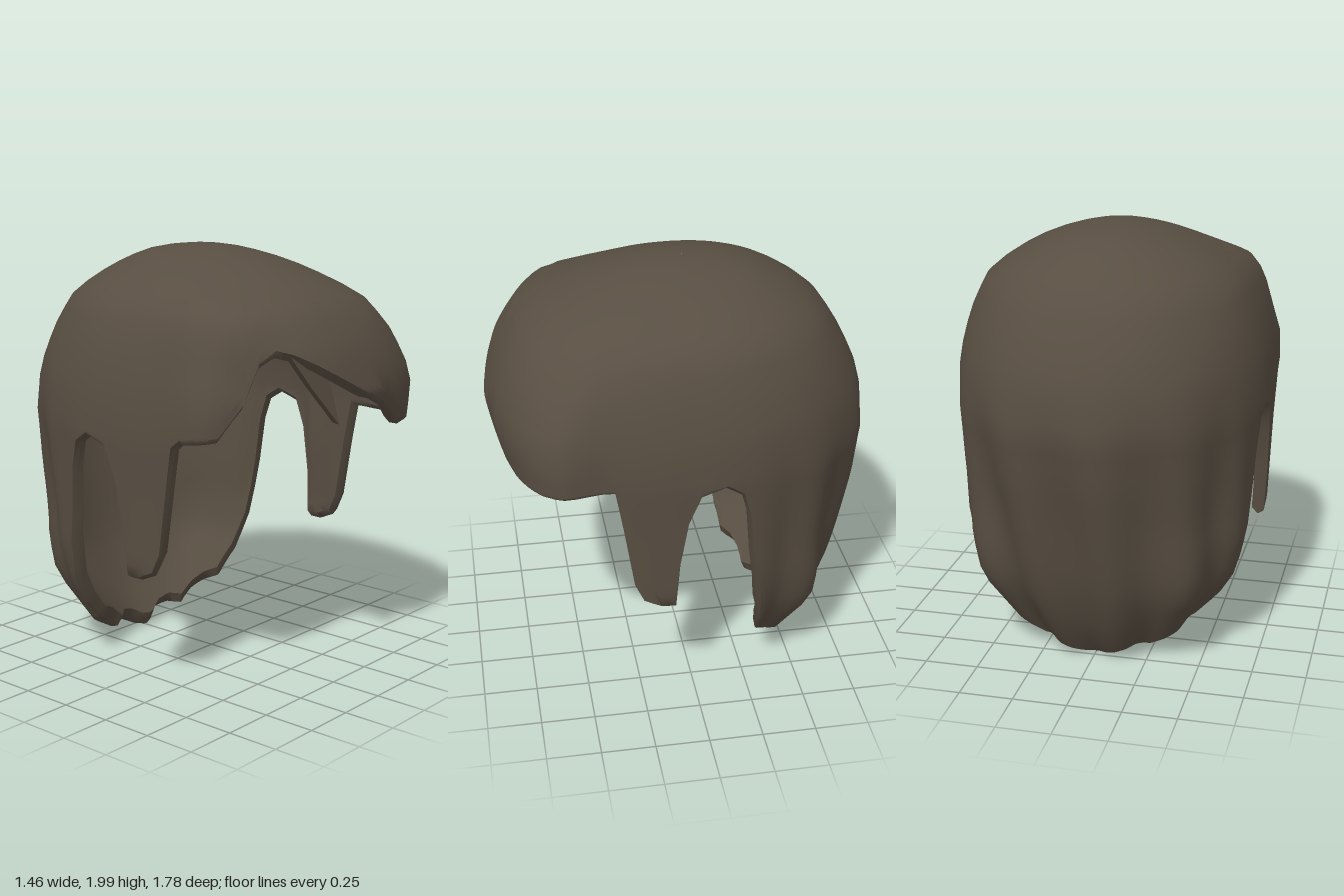
import * as THREE from 'three';
import { toCreasedNormals } from 'three/addons/utils/BufferGeometryUtils.js';

// Horizontal outline by height: [y, half width, front depth, back depth]
const OUTLINE = [
  [2, 0, 0, 0], [1.97, 0.2, 0.25, 0.29], [1.9, 0.39, 0.48, 0.45], [1.77, 0.59, 0.75, 0.64],
  [1.6, 0.67, 0.86, 0.75], [1.4, 0.72, 0.92, 0.84], [1.2, 0.73, 0.88, 0.86], [0.95, 0.72, 0.85, 0.82],
  [0.6, 0.71, 0.83, 0.74], [0.4, 0.66, 0.8, 0.69], [0.2, 0.54, 0.7, 0.6], [0.1, 0.47, 0.6, 0.54],
  [0.04, 0.43, 0.55, 0.49], [0, 0.4, 0.5, 0.45],
];

// Lower edge by angle in degrees (0 = front, positive towards +x): [angle, y]
const FRINGE = [
  [-57, 1.24], [-46, 1.26], [-39, 1.4], [-34, 1.57], [-29, 1.62], [-24, 1.6], [-17, 1.55], [-11, 1.5],
  [0, 1.41], [13, 1.32], [22, 1.22], [30, 1.19], [42, 1.18], [57, 1.2],
];
const SIDE = [
  [60, 1.2], [62, 1.0], [65, 0.7], [68, 0.61], [74, 0.57], [79, 0.57], [80.5, 0.8], [83.5, 1.02],
  [88, 1.16], [97, 1.2], [103, 1.15], [106, 1.02], [108, 0.8], [112, 0.5], [117, 0.32], [124, 0.2],
  [132, 0.17], [140, 0.13], [148, 0.07], [157, 0.08], [166, 0.06], [174, 0.02],
];
const HEM = [
  [-180, 0.01], ...SIDE.map(([a, y]) => [-a, y]).reverse(), ...FRINGE, ...SIDE, [180, 0.01],
];

const CENTRE_Z = -0.03;
const CAP_ROWS = 14;
const ROWS = 28;
const { smoothstep } = THREE.MathUtils;

// Soft bump round a value, with its own width on either side
function bump(value, centre, before, after) {
  const d = (value - centre) / (value < centre ? before : after);
  return Math.exp(-d * d);
}

// Smooth body of the hair; q is the square root of the drop below the crown
function surface(deg, q, grooves = 0) {
  const y = 2 - q * q;
  let k = 1;
  while (k < OUTLINE.length - 1 && OUTLINE[k][0] > y) k++;
  const [p, n] = [OUTLINE[k - 1], OUTLINE[k]];
  const qa = Math.sqrt(2 - p[0]), qb = Math.sqrt(2 - n[0]);
  const t = (q - qa) / (qb - qa);
  const [w, f, b] = [1, 2, 3].map((c) => Math.max(1e-5, p[c] + (n[c] - p[c]) * t));

  const a = THREE.MathUtils.degToRad(deg);
  const s = Math.abs(Math.sin(a)), c = Math.cos(a);
  const e = c > 0 ? 2 + 0.7 * smoothstep(2 - y, 0, 0.4) : 2.1;
  let r = Math.pow(Math.pow(s / w, e) + Math.pow(Math.abs(c) / (c > 0 ? f : b), e), -1 / e);

  // Full swept lock on one side of the fringe, slimmer parting on the other
  const low = smoothstep(2 - y, 0.2, 0.7);
  r += low * (0.09 * bump(deg, 47, 18, 7) + 0.05 * bump(deg, -51, 9, 8) - 0.045 * bump(deg, -31, 9, 10));
  // Raised shoulder above the parting
  r += 0.06 * bump(deg, -45, 18, 18) * bump(y, 1.75, 0.15, 0.09);
  // Flare of the back corners and grooves between the long locks
  r += 0.04 * bump(Math.abs(deg), 138, 16, 16) * bump(y, 0.4, 0.16, 0.25);
  const back = smoothstep(Math.abs(deg), 105, 130) * smoothstep(2 - y, 0.5, 1.3);
  r += grooves * back * (Math.cos(a * 13 + y * 1.5) - 0.2);

  return new THREE.Vector3(r * Math.sin(a), y, r * c + CENTRE_Z);
}

// Same point moved inwards by the thickness
function innerSurface(deg, q, thickness) {
  const p = surface(deg, q);
  const normal = new THREE.Vector3(0, 1, 0);
  if (q > 0.05) {
    const down = surface(deg, q + 0.01).sub(surface(deg, q - 0.01));
    const across = surface(deg + 1, q).sub(surface(deg - 1, q));
    normal.crossVectors(down, across).normalize();
  }
  return p.addScaledVector(normal, -thickness);
}

// Columns: every corner of the lower edge, with long spans subdivided
function columns() {
  const list = [];
  for (let i = 0; i < HEM.length - 1; i++) {
    const [a0, y0] = HEM[i], [a1, y1] = HEM[i + 1];
    const steps = Math.max(1, Math.ceil((a1 - a0) / 3));
    for (let s = 0; s < steps; s++) {
      const t = s / steps;
      list.push([a0 + (a1 - a0) * t, y0 + (y1 - y0) * t]);
    }
  }
  return list;
}

// Closed shell: down the outside, round the rim and back up the inside
function shellGeometry() {
  const cols = columns();
  const positions = [], index = [];
  const perColumn = 2 * ROWS + 3;
  for (const [deg, hem] of cols) {
    const qMax = Math.sqrt(2 - hem);
    const qCap = Math.min(0.86, qMax - 0.03); // level rows over the cap, the rest follow the hem
    const backness = smoothstep(Math.abs(deg), 110, 140);
    const outer = [], inner = [];
    for (let j = 0; j <= ROWS; j++) {
      const q = j < CAP_ROWS
        ? (qCap * j) / CAP_ROWS
        : qCap + ((qMax - qCap) * (j - CAP_ROWS)) / (ROWS - CAP_ROWS);
      const edge = 1 - smoothstep(qMax - q, 0, 0.2);
      outer.push(surface(deg, q, 0.025));
      inner.push(innerSurface(deg, q, 0.075 + edge * (0.035 * backness - 0.015)));
    }
    const rim = outer[ROWS].clone().lerp(inner[ROWS], 0.5);
    rim.y -= 0.025;
    for (const p of [...outer, rim, ...inner.reverse()]) positions.push(p.x, p.y, p.z);
  }
  for (let i = 0; i < cols.length; i++) {
    const left = i * perColumn, right = ((i + 1) % cols.length) * perColumn;
    for (let j = 0; j < perColumn - 1; j++) {
      const A = left + j, B = A + 1, D = right + j, C = D + 1;
      if (j < perColumn - 2) index.push(A, B, C);
      if (j > 0) index.push(A, C, D);
    }
  }
  const geometry = new THREE.BufferGeometry();
  geometry.setAttribute('position', new THREE.Float32BufferAttribute(positions, 3));
  geometry.setIndex(index);
  return toCreasedNormals(geometry, 0.9);
}

// Pointed strand hanging beside the parting
function strandGeometry() {
  const shape = new THREE.Shape([
    new THREE.Vector2(-0.27, 1.61), new THREE.Vector2(-0.15, 1.45), new THREE.Vector2(0, 1.27),
    new THREE.Vector2(-0.07, 1.54),
  ]);
  return new THREE.ExtrudeGeometry(shape, { depth: 0.05, bevelEnabled: false });
}

export function createModel() {
  const group = new THREE.Group();
  group.name = 'hair';
  const material = new THREE.MeshStandardMaterial({ color: 0x584e42 });

  const shell = new THREE.Mesh(shellGeometry(), material);
  shell.name = 'hairShell';

  const strand = new THREE.Mesh(strandGeometry(), material);
  strand.name = 'fringeStrand';
  strand.position.set(-0.1, 0, 0.79);
  strand.rotation.y = -0.35;

  group.add(shell, strand);
  return group;
}
